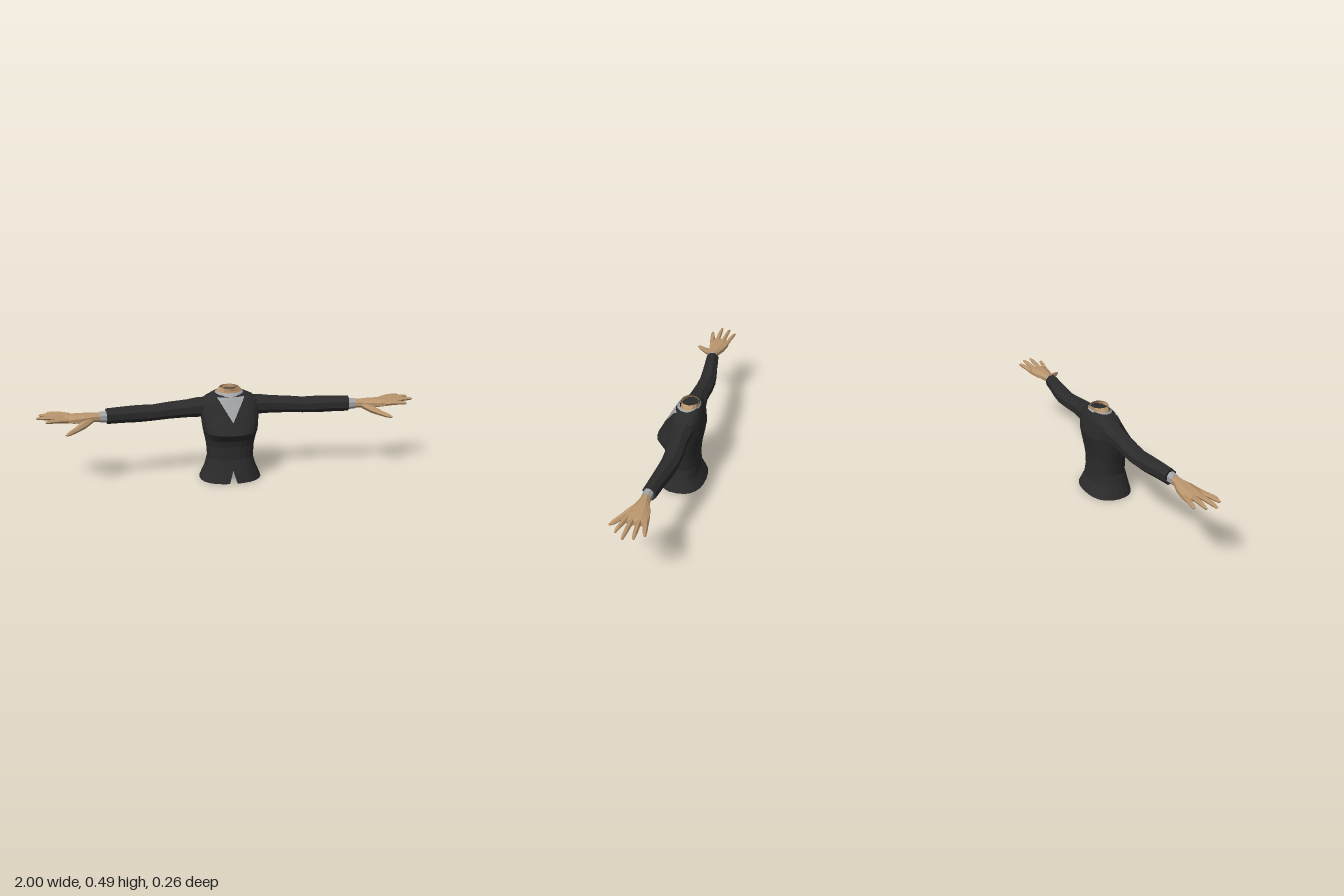
import * as THREE from 'three';

const mat = (name, color) =>
  Object.assign(new THREE.MeshStandardMaterial({ color, side: THREE.DoubleSide }), { name });

const E = 2.4; // superellipse power of the body cross-sections

// Body sections from hem to collar: y, half width, front z, back z, z of widest point, forward drop
const BODY = [
  [0.008, 0.165, 0.115, -0.132, -0.01, 0.002],
  [0.075, 0.137, 0.100, -0.100, -0.01, 0],
  [0.130, 0.123, 0.087, -0.095, -0.01, 0],
  [0.200, 0.128, 0.087, -0.096, -0.01, 0],
  [0.235, 0.135, 0.096, -0.100, -0.01, 0],
  [0.278, 0.144, 0.132, -0.108, -0.01, 0],
  [0.310, 0.149, 0.115, -0.114, -0.01, 0],
  [0.350, 0.153, 0.090, -0.120, -0.02, 0],
  [0.395, 0.158, 0.063, -0.114, -0.03, 0],
  [0.430, 0.154, 0.043, -0.107, -0.035, 0],
  [0.451, 0.125, 0.034, -0.100, -0.037, 0.003],
  [0.464, 0.094, 0.028, -0.094, -0.038, 0.006],
  [0.472, 0.072, 0.020, -0.088, -0.038, 0.009],
];

// Skin a list of rings into flat facets
function loft(rings, caps = false) {
  const pos = [];
  const tri = (...v) => v.forEach(p => pos.push(p.x, p.y, p.z));
  for (let i = 0; i < rings.length - 1; i++) {
    const r = rings[i], s = rings[i + 1];
    for (let j = 0; j < r.length - 1; j++) {
      tri(r[j], r[j + 1], s[j]);
      tri(r[j + 1], s[j + 1], s[j]);
    }
  }
  if (caps) {
    const a = rings[0], b = rings[rings.length - 1];
    for (let j = 1; j < a.length - 2; j++) {
      tri(a[0], a[j + 1], a[j]);
      tri(b[0], b[j], b[j + 1]);
    }
  }
  const g = new THREE.BufferGeometry();
  g.setAttribute('position', new THREE.Float32BufferAttribute(pos, 3));
  g.computeVertexNormals();
  return g;
}

// Horizontal ring that starts and ends at the front centre
function bodyRing([y, hw, zf, zb, zs, drop], n = 24, e = E) {
  return Array.from({ length: n + 1 }, (_, j) => {
    const a = (j / n) * Math.PI * 2, s = Math.sin(a), c = Math.cos(a);
    const bend = v => Math.sign(v) * Math.abs(v) ** (2 / e);
    return new THREE.Vector3(hw * bend(s), y - drop * c, zs + bend(c) * (c > 0 ? zf - zs : zs - zb));
  });
}

// Depth of the chest surface at x, y
function chestZ(x, y) {
  const level = r => r[0] - r[5];
  let i = 0;
  while (i < BODY.length - 2 && level(BODY[i + 1]) < y) i++;
  const a = BODY[i], b = BODY[i + 1];
  const t = THREE.MathUtils.clamp((y - level(a)) / (level(b) - level(a)), 0, 1);
  const [, hw, zf, , zs] = a.map((v, k) => v + (b[k] - v) * t);
  return zs + (zf - zs) * Math.max(0, 1 - (Math.abs(x) / hw) ** E) ** (1 / E);
}

// Tapered limb through stations of x, y, z, vertical radius, horizontal radius
function limb(stations, n = 8) {
  const pts = stations.map(s => new THREE.Vector3(s[0], s[1], s[2]));
  const rings = stations.map(([, , , rv, rh], i) => {
    const d = pts[Math.min(i + 1, pts.length - 1)].clone().sub(pts[Math.max(i - 1, 0)]).normalize();
    const side = d.clone().cross(new THREE.Vector3(0, 1, 0)).normalize();
    const up = side.clone().cross(d);
    return Array.from({ length: n + 1 }, (_, j) => {
      const a = ((j + 0.5) / n) * Math.PI * 2;
      return pts[i].clone().addScaledVector(up, Math.cos(a) * rv).addScaledVector(side, Math.sin(a) * rh);
    });
  });
  return loft(rings, true);
}

export function createModel() {
  const jacket = mat('jacket charcoal', 0x2b2b2b);
  const shirt = mat('shirt grey', 0xa3a5a7);
  const skin = mat('skin', 0xba966e);
  const model = new THREE.Group();
  model.name = 'jacketedTorso';
  const add = (parent, name, geometry, material) => {
    const m = new THREE.Mesh(geometry, material);
    m.name = name;
    parent.add(m);
  };

  // Jacket body, with the hem parted at the front
  const rings = BODY.map(r => bodyRing(r));
  rings[0][0].x = 0.02;
  rings[0][24].x = -0.02;
  add(model, 'jacketBody', loft(rings), jacket);

  // Shirt showing in the neckline and in the hem notch
  const rows = [0.338, 0.35, 0.37, 0.395, 0.42, 0.437, 0.448, 0.458].map(y => {
    const w = 0.072 * (y - 0.338) / 0.12;
    return [-1, -0.66, -0.33, 0, 0.33, 0.66, 1].map(u =>
      new THREE.Vector3(u * w, y, chestZ(u * w, y) + 0.004));
  });
  add(model, 'shirtFront', loft(rows), shirt);
  add(model, 'shirtTail', loft([
    [new THREE.Vector3(-0.014, 0.03, 0.1), new THREE.Vector3(0.014, 0.03, 0.1)],
    [new THREE.Vector3(0, 0.07, 0.094), new THREE.Vector3(0, 0.07, 0.094)],
  ]), shirt);

  // Collar, open neck and the dark inside of the neck
  add(model, 'collar', loft([
    bodyRing([0.466, 0.080, 0.030, -0.094, -0.038, 0.009], 16, 2),
    bodyRing([0.479, 0.070, 0.014, -0.089, -0.038, 0.004], 16, 2),
  ]), shirt);
  add(model, 'neck', loft([
    bodyRing([0.466, 0.078, 0.010, -0.086, -0.038, 0.004], 12, 2),
    bodyRing([0.482, 0.066, 0.006, -0.084, -0.039, 0], 12, 2),
    bodyRing([0.498, 0.050, 0.008, -0.086, -0.039, 0], 12, 2),
  ]), skin);
  const inside = new THREE.CircleGeometry(1, 12).rotateX(-Math.PI / 2)
    .scale(0.066, 1, 0.045).translate(0, 0.478, -0.039);
  add(model, 'neckInside', inside, jacket);

  // Arms, built on +x and mirrored
  for (const side of [1, -1]) {
    const arm = new THREE.Group();
    arm.name = side > 0 ? 'leftArm' : 'rightArm';
    arm.scale.x = side;
    model.add(arm);

    add(arm, 'sleeve', limb([
      [0.10, 0.395, -0.037, 0.050, 0.055],
      [0.16, 0.394, -0.036, 0.052, 0.055],
      [0.22, 0.390, -0.035, 0.047, 0.048],
      [0.32, 0.383, -0.040, 0.044, 0.047],
      [0.40, 0.376, -0.038, 0.042, 0.046],
      [0.48, 0.377, -0.030, 0.045, 0.043],
      [0.56, 0.379, -0.019, 0.043, 0.038],
      [0.645, 0.379, -0.008, 0.041, 0.036],
    ]), jacket);
    add(arm, 'shirtCuff', limb([
      [0.63, 0.378, -0.006, 0.032, 0.028],
      [0.68, 0.378, -0.003, 0.028, 0.024],
    ]), shirt);
    add(arm, 'palm', limb([
      [0.67, 0.378, -0.003, 0.025, 0.022],
      [0.71, 0.378, -0.003, 0.024, 0.028],
      [0.76, 0.377, -0.004, 0.025, 0.046],
      [0.81, 0.377, -0.006, 0.023, 0.056],
      [0.85, 0.378, -0.007, 0.019, 0.058],
      [0.868, 0.380, -0.007, 0.012, 0.053],
    ]), skin);

    // Fingers: base z, tip x, tip z, tip y
    const fingers = [
      [0.037, 0.950, 0.060, 0.384],
      [0.010, 0.998, 0.012, 0.393],
      [-0.021, 0.985, -0.036, 0.394],
      [-0.050, 0.950, -0.077, 0.390],
    ];
    fingers.forEach(([bz, tx, tz, ty], i) => {
      const at = (t, lift, r) => [0.835 + (tx - 0.835) * t, 0.38 + (ty - 0.38) * t + lift, bz + (tz - bz) * t, r, r];
      add(arm, 'finger' + (i + 1), limb([
        at(0, 0, 0.014), at(0.4, 0.004, 0.0125), at(0.75, 0.003, 0.0105), at(0.95, 0, 0.007), at(1, 0, 0.003),
      ], 6), skin);
    });
    add(arm, 'thumb', limb([
      [0.725, 0.370, 0.012, 0.018, 0.020],
      [0.765, 0.354, 0.048, 0.019, 0.021],
      [0.800, 0.343, 0.080, 0.014, 0.015],
      [0.832, 0.335, 0.107, 0.011, 0.012],
      [0.850, 0.331, 0.123, 0.005, 0.006],
    ], 6), skin);
  }
  return model;
}
